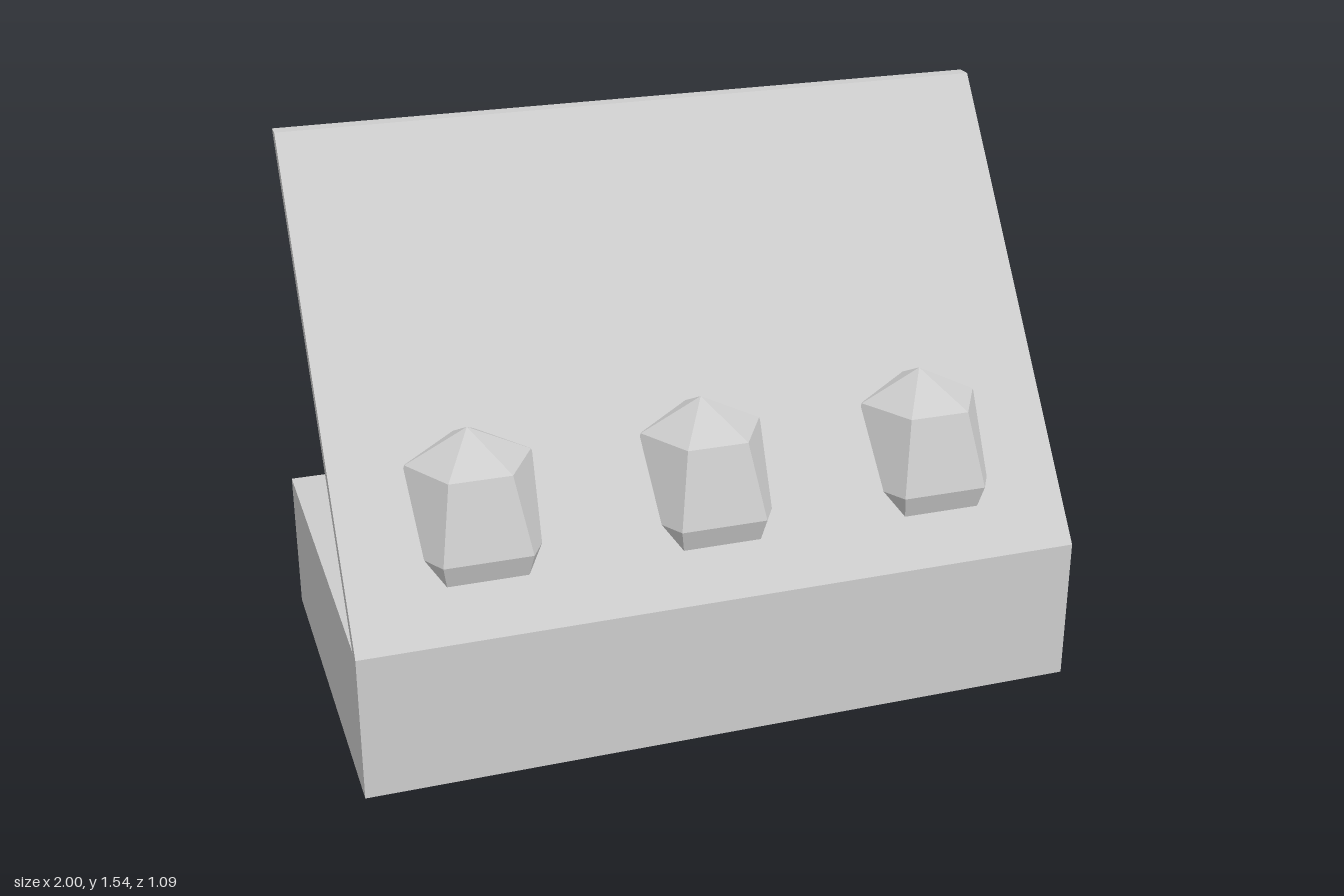
import * as THREE from 'three';

export function createModel() {
  const group = new THREE.Group();
  const grey = new THREE.MeshStandardMaterial({ color: 0xcccccc, flatShading: true });
  grey.name = 'card grey';

  const baseHeight = 0.41, halfDepth = 0.545;

  const add = (name, geometry, x = 0, y = 0, z = 0) => {
    const mesh = new THREE.Mesh(geometry, grey);
    mesh.name = name;
    mesh.position.set(x, y, z);
    group.add(mesh);
  };

  // Tray
  add('tray', new THREE.BoxGeometry(2, baseHeight, 2 * halfDepth), 0, baseHeight / 2, 0);

  // Open lid: slanted side profile (z, y) extruded across the width
  const profile = new THREE.Shape([
    [halfDepth, baseHeight], [-0.272, 1.545], [-0.315, 1.545], [0.502, baseHeight],
  ].map(([z, y]) => new THREE.Vector2(z, y)));
  const lid = new THREE.ExtrudeGeometry(profile, { depth: 2, bevelEnabled: false });
  lid.rotateY(-Math.PI / 2).translate(1, 0, 0);
  add('lid', lid);

  // Two rows of three low-poly eggs, sunk slightly into the tray
  const egg = new THREE.SphereGeometry(0.237, 6, 4).scale(1, 0.29 / 0.237, 1);
  for (const z of [-0.272, 0.272]) {
    for (const x of [-0.635, 0, 0.635]) add('egg', egg, x, 0.592, z);
  }

  return group;
}
